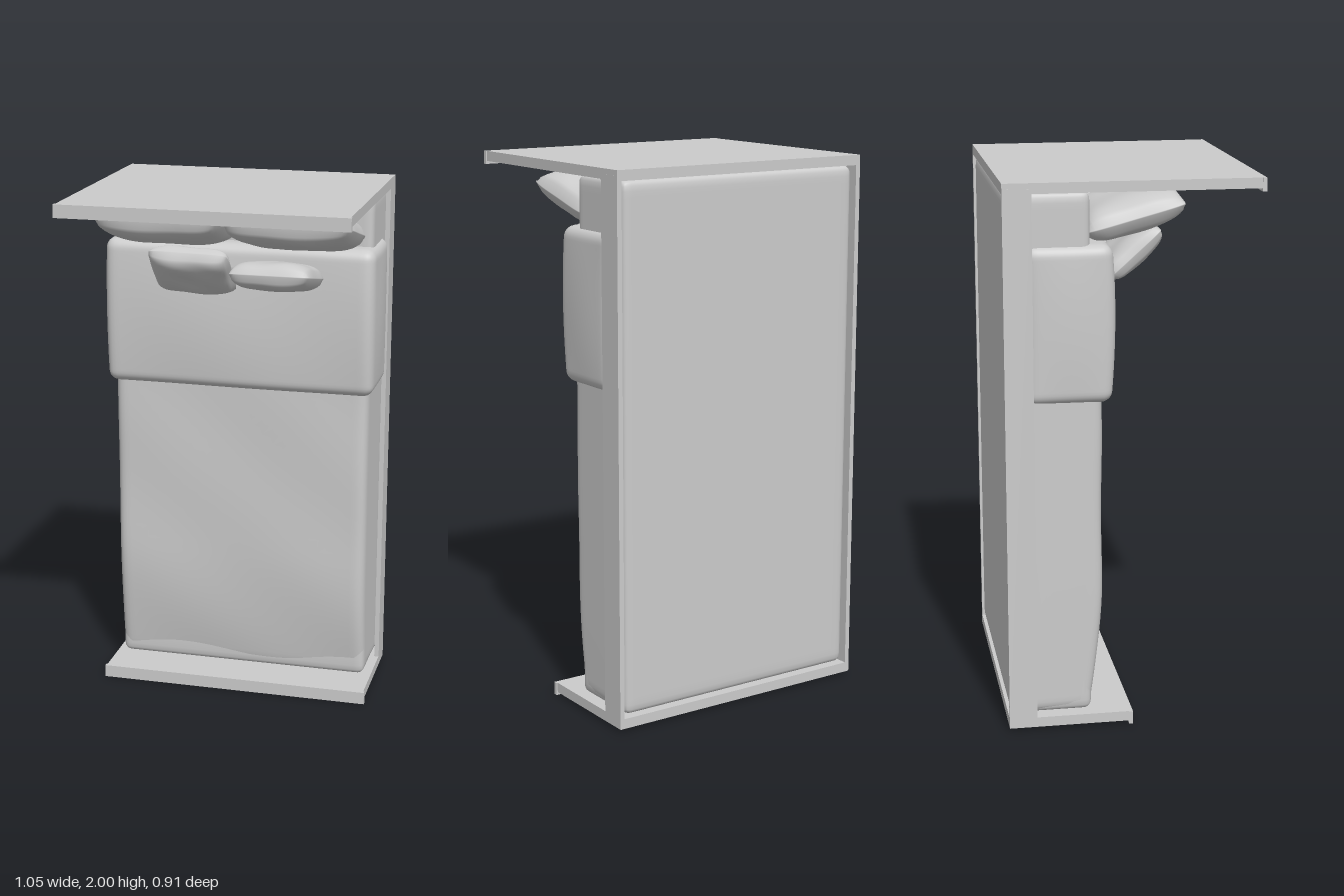
import * as THREE from 'three';
import { mergeVertices } from 'three/addons/utils/BufferGeometryUtils.js';

const material = new THREE.MeshStandardMaterial({ color: 0xcccccc });

function add(parent, name, geometry) {
  const mesh = new THREE.Mesh(geometry, material);
  mesh.name = name;
  parent.add(mesh);
  return mesh;
}

// Box given by its min and max on each axis
function slab(parent, name, [x0, x1], [y0, y1], [z0, z1]) {
  const mesh = add(parent, name, new THREE.BoxGeometry(x1 - x0, y1 - y0, z1 - z0));
  mesh.position.set((x0 + x1) / 2, (y0 + y1) / 2, (z0 + z1) / 2);
  return mesh;
}

// Unit box welded into one smooth skin, every vertex moved by a rule
function moulded(nx, ny, nz, rule) {
  let g = new THREE.BoxGeometry(2, 2, 2, nx, ny, nz);
  g.deleteAttribute('normal');
  g.deleteAttribute('uv');
  g = mergeVertices(g);
  const p = g.attributes.position, v = new THREE.Vector3();
  for (let i = 0; i < p.count; i++) {
    rule(v.fromBufferAttribute(p, i));
    p.setXYZ(i, v.x, v.y, v.z);
  }
  g.computeVertexNormals();
  return g;
}

// Rounded cloth block; deform shapes it in model space
function softBlock(parent, name, min, max, r, deform = () => {}) {
  const lo = new THREE.Vector3(...min), hi = new THREE.Vector3(...max);
  const centre = lo.clone().add(hi).multiplyScalar(0.5);
  const half = hi.clone().sub(lo).multiplyScalar(0.5);
  const inner = half.clone().subScalar(r);
  const dense = t => Math.sign(t) * (1 - Math.pow(1 - Math.abs(t), 1.7));
  return add(parent, name, moulded(36, 40, 20, v => {
    v.set(dense(v.x), dense(v.y), dense(v.z)).multiply(half);
    const core = v.clone().clamp(inner.clone().negate(), inner);
    v.sub(core).setLength(r).add(core).add(centre);
    deform(v);
  }));
}

// Cushion with a pinched seam, puffed middle and slight creases
function pillow(parent, name, [w, h, t], position, tilt, roll = 0) {
  const mesh = add(parent, name, moulded(32, 28, 1, v => {
    const { x, y, z } = v;
    const puff = Math.sqrt((1 - x ** 4) * (1 - y ** 4));
    const crease = 1 + 0.06 * Math.sin(5 * x + 2 * y + position[0] * 9) * Math.cos(4 * y);
    v.set(
      x * w / 2 * (1 - 0.07 * y ** 4 - 0.03 * (1 - y * y)),
      y * h / 2 * (1 - 0.07 * x ** 4 - 0.03 * (1 - x * x)),
      z * t / 2 * (0.03 + 0.97 * puff * crease));
  }));
  mesh.position.set(...position);
  mesh.rotation.set(tilt, 0, roll);
}

// End board: flat above, two framed recesses below, lip along the front edge
function endBoard(parent, name, top, zFront) {
  const board = new THREE.Group();
  board.name = name;
  parent.add(board);
  const back = -0.456, w = 0.522, low = top - 0.037;
  slab(board, 'panel', [-w, w], [top - 0.02, top], [back, zFront]);
  const shape = new THREE.Shape([[-w, back], [w, back], [w, zFront], [-w, zFront]]
    .map(([x, z]) => new THREE.Vector2(x, -z)));
  for (const [x0, x1] of [[-0.49, -0.015], [0.015, 0.49]]) {
    shape.holes.push(new THREE.Path([[x0, back + 0.03], [x0, zFront - 0.035], [x1, zFront - 0.035], [x1, back + 0.03]]
      .map(([x, z]) => new THREE.Vector2(x, -z))));
    slab(board, 'insetPanel', [x0 + 0.012, x1 - 0.012], [low + 0.005, top - 0.01], [back + 0.042, zFront - 0.047]);
  }
  const frame = add(board, 'frame', new THREE.ExtrudeGeometry(shape, { depth: 0.02, bevelEnabled: false }));
  frame.rotation.x = -Math.PI / 2;
  frame.position.y = low;
  slab(board, 'lip', [-0.527, 0.527], [top - 0.048, top], [zFront - 0.015, zFront]);
}

export function createModel() {
  const bed = new THREE.Group();
  bed.name = 'bed';

  // Frame: two end boards joined by the side rails
  endBoard(bed, 'headboard', 2, 0.456);
  endBoard(bed, 'footboard', 0.053, -0.003);
  for (const s of [-1, 1]) {
    slab(bed, 'sideRail', [s * 0.514 - 0.009, s * 0.514 + 0.009], [0.02, 1.98], [-0.456, -0.355]);
  }

  // Mattress, its underside slightly inside the rails
  softBlock(bed, 'mattress', [-0.496, 0.058, -0.45], [0.496, 1.963, -0.15], 0.03);

  // Blanket, sinking towards the foot
  softBlock(bed, 'blanket', [-0.502, 0.06, -0.42], [0.502, 1.3, -0.11], 0.04, v => {
    const k = THREE.MathUtils.clamp((v.z + 0.36) / 0.25, 0, 1);
    const foot = Math.max(0, 1 - (v.y - 0.06) / 0.5);
    v.z += k * (-0.05 * foot ** 2 + 0.004 * Math.sin(9 * v.x + 5 * v.y) * Math.cos(6 * v.y));
    v.x *= 1 - 0.015 * k;
  });

  // Folded-back cover over the upper part
  softBlock(bed, 'foldedCover', [-0.516, 1.22, -0.38], [0.516, 1.78, -0.075], 0.04, v => {
    const k = THREE.MathUtils.clamp((v.z + 0.36) / 0.28, 0, 1);
    const t = (v.y - 1.5) / 0.28;
    v.z += k * 0.016 * (1 - t * t) + k * 0.003 * Math.sin(8 * v.x + 6 * v.y);
    v.x += Math.sign(v.x) * 0.01 * (1 - t * t) * Math.sin(Math.PI * k);
  });

  // Two large pillows against the headboard, two small ones before them
  const flat = Math.PI / 2;
  pillow(bed, 'leftPillow', [0.485, 0.375, 0.135], [0.238, 1.862, 0.015], flat - 0.26);
  pillow(bed, 'rightPillow', [0.485, 0.375, 0.135], [-0.244, 1.862, 0.015], flat - 0.26);
  pillow(bed, 'leftCushion', [0.31, 0.28, 0.105], [0.178, 1.695, 0.045], flat - 0.22, 0.03);
  pillow(bed, 'rightCushion', [0.31, 0.26, 0.105], [-0.14, 1.7, 0.04], flat - 0.72, -0.04);

  return bed;
}
